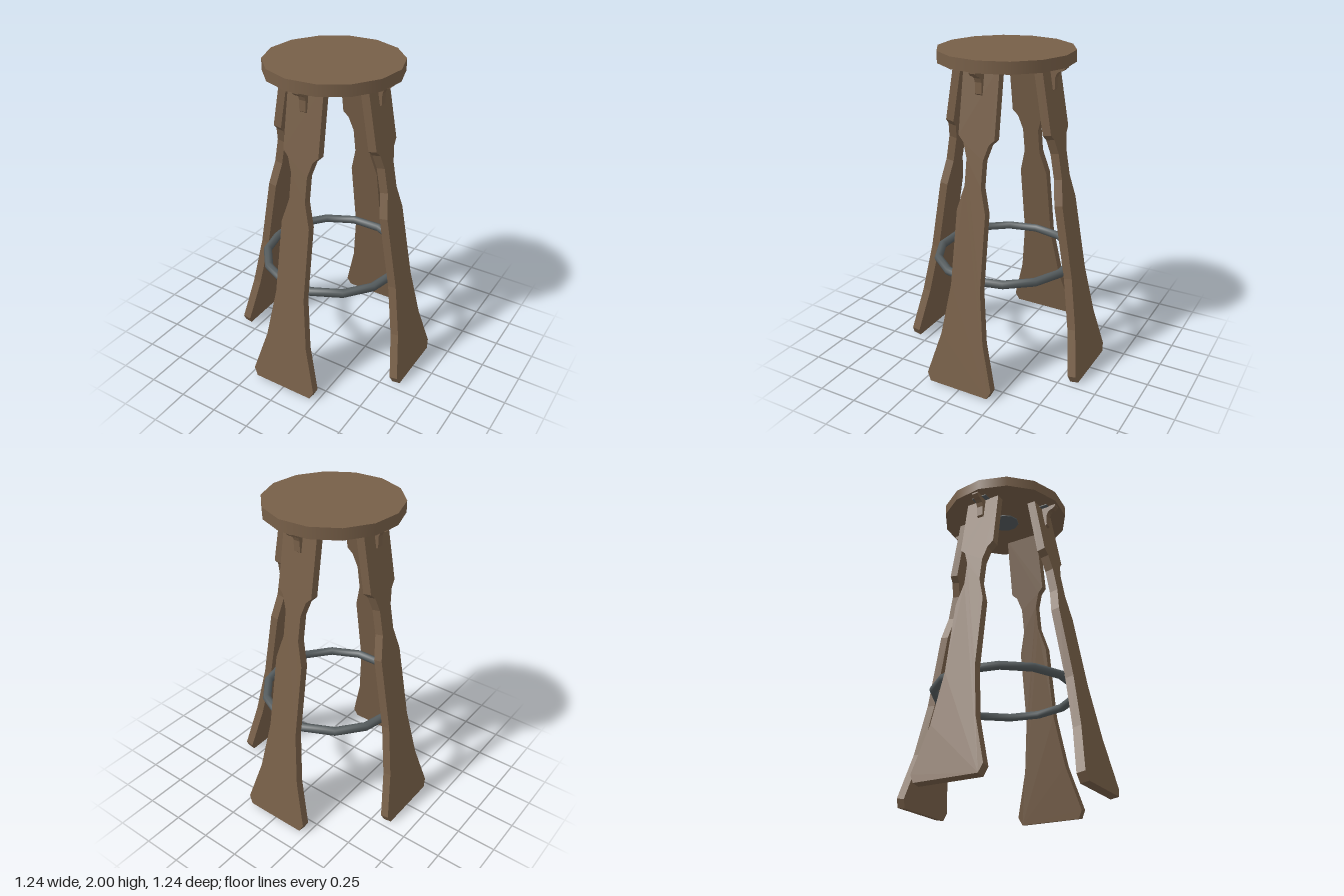
import * as THREE from 'three';

const wood = new THREE.MeshStandardMaterial({ color: 0x775f48 });
wood.name = 'brown wood';
const metal = new THREE.MeshStandardMaterial({ color: 0x555c5e });
metal.name = 'grey metal';

const TILT = 0.17;

function part(name, geometry, material) {
  const mesh = new THREE.Mesh(geometry, material);
  mesh.name = name;
  return mesh;
}

// Extrudes an outline, centred on its thickness
function slab(points, depth) {
  const shape = new THREE.Shape(points.map(([x, y]) => new THREE.Vector2(x, y)));
  const geometry = new THREE.ExtrudeGeometry(shape, { depth, bevelEnabled: false });
  return geometry.translate(0, 0, -depth / 2);
}

// Shaped plank: half width at each height, leaning inwards
function legGeometry() {
  const half = [
    [0.2, 0], [0.225, 0.05], [0.145, 0.33], [0.1, 0.65], [0.095, 1.11],
    [0.054, 1.26], [0.054, 1.415], [0.083, 1.505], [0.118, 1.54], [0.115, 1.945],
  ].map(([x, y]) => [x, y / Math.cos(TILT)]);
  const outline = [...half, ...half.map(([x, y]) => [-x, y]).reverse()];
  return slab(outline, 0.053).rotateX(-TILT).translate(0, 0.006, 0.592);
}

// Small curved brace between the leg and the seat
function braceGeometry() {
  const outline = [
    [0.311, 1.785], [0.325, 1.795], [0.325, 1.86], [0.335, 1.885],
    [0.35, 1.897], [0.37, 1.902], [0.39, 1.92], [0.39, 1.932], [0.29, 1.932],
  ];
  return slab(outline, 0.042).rotateY(-Math.PI / 2);
}

export function createModel() {
  const stool = new THREE.Group();
  stool.name = 'stool';

  // Seat
  const seat = part('seat', new THREE.CylinderGeometry(0.41, 0.41, 0.07, 14, 1, false, 1.669), wood);
  seat.position.y = 1.965;
  stool.add(seat);

  // Metal plate under the seat
  const plate = part('seatPlate', new THREE.CylinderGeometry(0.09, 0.09, 0.008, 10), metal);
  plate.position.y = 1.927;
  stool.add(plate);

  // Foot ring
  const ring = part('footRing', new THREE.TorusGeometry(0.437, 0.027, 8, 14), metal);
  ring.rotation.x = Math.PI / 2;
  ring.position.y = 0.68;
  stool.add(ring);

  // Four legs, each with its brace and a small mounting pad
  const legShape = legGeometry();
  const braceShape = braceGeometry();
  const padShape = new THREE.BoxGeometry(0.1, 0.006, 0.05).translate(0, 1.928, 0.315);
  ['front', 'left', 'back', 'right'].forEach((side, i) => {
    const group = new THREE.Group();
    group.name = side + 'Leg';
    group.add(
      part('leg', legShape, wood),
      part('brace', braceShape, wood),
      part('mountingPad', padShape, metal),
    );
    group.rotation.y = (i * Math.PI) / 2;
    stool.add(group);
  });

  return stool;
}
